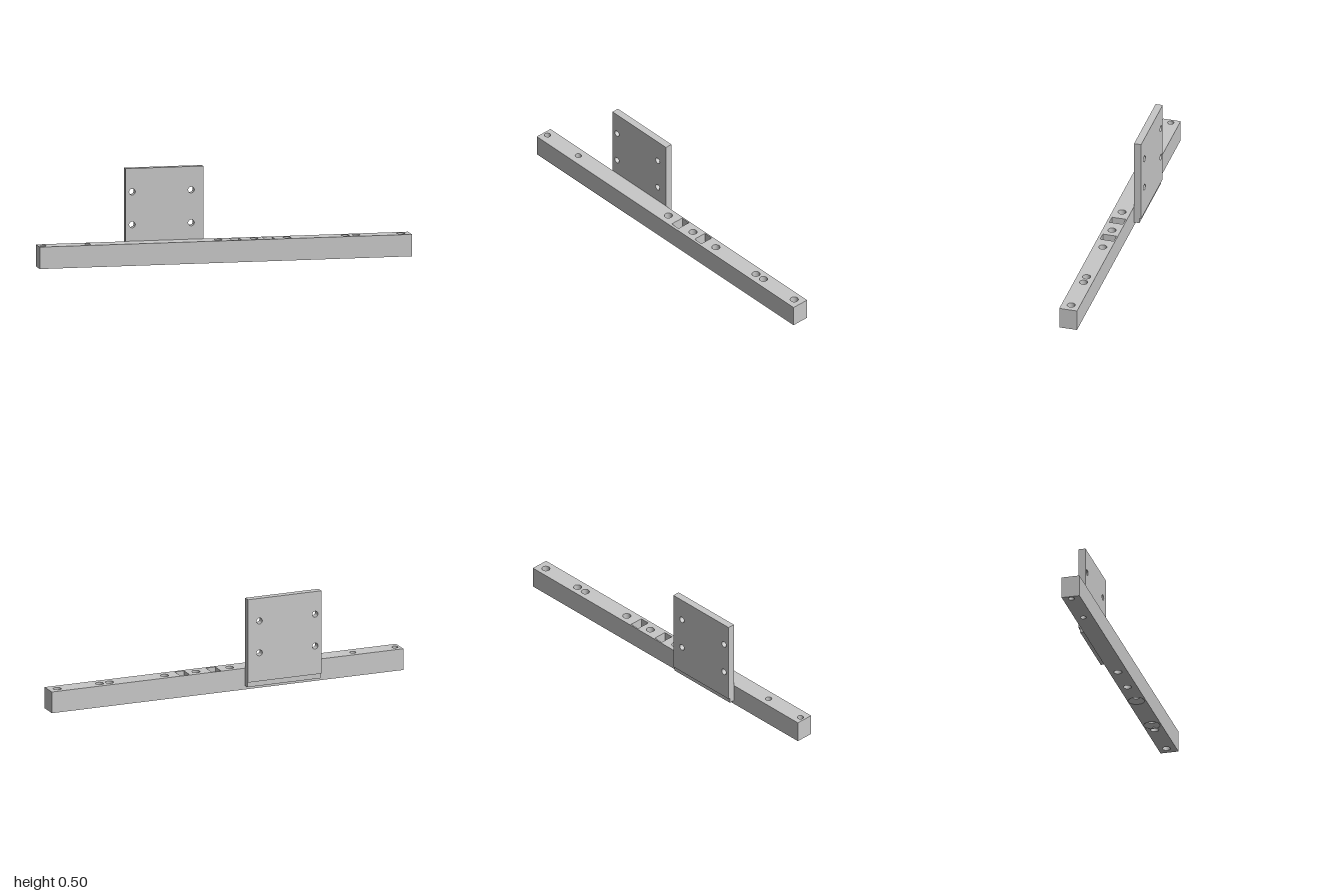
import * as THREE from 'three';

const grey = new THREE.MeshStandardMaterial({ color: 0xc8c8c8 });
grey.name = 'grey metal';
const greyInside = new THREE.MeshStandardMaterial({ color: 0xc8c8c8, side: THREE.DoubleSide });
greyInside.name = 'grey metal inside';

// Bar extents, hole line and hole sizes
const H = 0.116, Z0 = -0.0285, Z1 = 0.068, HZ = 0.0175;
const SMALL = 0.0165, LARGE = 0.0215, SINK = 0.043, SINK_DEPTH = 0.022, POCKET_DEPTH = 0.09;
const holes = [
  [-0.972, SMALL], [-0.732, SMALL], [-0.031, LARGE], [0.161, LARGE],
  [0.339, LARGE, true], [0.652, LARGE, true], [0.71, LARGE], [0.95, LARGE],
];
const [SUNK_X, NEXT_X] = [holes[5][0], holes[6][0]];
const pockets = [[0.035, 0.088], [0.213, 0.266]];
const PZ0 = -0.021, PZ1 = 0.053;

function rect(x0, x1, y0, y1, Type = THREE.Shape) {
  const s = new Type();
  s.moveTo(x0, y0);
  s.lineTo(x1, y0);
  s.lineTo(x1, y1);
  s.lineTo(x0, y1);
  s.closePath();
  return s;
}

function circle(x, y, r) {
  return new THREE.Path().absarc(x, y, r, 0, Math.PI * 2);
}

function add(group, name, geometry, material = grey) {
  const mesh = new THREE.Mesh(geometry, material);
  mesh.name = name;
  group.add(mesh);
  return mesh;
}

// Box without the faces listed (order: +x, -x, +y, -y, +z, -z)
function openBox(w, h, d, skip) {
  const g = new THREE.BoxGeometry(w, h, d);
  const all = Array.from(g.index.array);
  g.setIndex(all.filter((_, i) => !skip.includes(Math.floor(i / 6))));
  g.clearGroups();
  return g;
}

function createBar() {
  const bar = new THREE.Group();
  bar.name = 'bar';
  add(bar, 'barSides', openBox(2, H, Z1 - Z0, [2, 3])).position.set(0, H / 2, (Z0 + Z1) / 2);

  // Top face with round holes and rectangular pockets
  const top = rect(-1, 1, -Z1, -Z0);
  for (const [x, r] of holes) top.holes.push(circle(x, -HZ, r));
  for (const [a, b] of pockets) top.holes.push(rect(a, b, -PZ1, -PZ0, THREE.Path));
  const topGeo = new THREE.ShapeGeometry(top, 16).rotateX(-Math.PI / 2).translate(0, H, 0);
  add(bar, 'barTop', topGeo);

  // Bottom face; the countersink that meets its neighbour shares one outline with it
  const bottom = rect(-1, 1, Z0, Z1);
  const d = NEXT_X - SUNK_X;
  const a = (d * d + SINK * SINK - LARGE * LARGE) / (2 * d);
  const h = Math.sqrt(SINK * SINK - a * a);
  const tBig = Math.atan2(h, a), tSmall = Math.atan2(h, a - d);
  for (const [x, r, sunk] of holes) {
    if (x === NEXT_X) continue;
    if (x === SUNK_X) {
      const joined = new THREE.Path();
      joined.absarc(x, HZ, SINK, tBig, Math.PI * 2 - tBig);
      joined.absarc(NEXT_X, HZ, LARGE, -tSmall, tSmall);
      bottom.holes.push(joined);
    } else bottom.holes.push(circle(x, HZ, sunk ? SINK : r));
  }
  add(bar, 'barBottom', new THREE.ShapeGeometry(bottom, 16).rotateX(Math.PI / 2));

  // Hole walls and conical countersinks
  for (const [x, r, sunk] of holes) {
    const y0 = sunk ? SINK_DEPTH : 0;
    const wall = new THREE.CylinderGeometry(r, r, H - y0, 32, 1, true);
    add(bar, 'holeWall', wall, greyInside).position.set(x, (H + y0) / 2, HZ);
    if (!sunk) continue;
    const cone = new THREE.CylinderGeometry(r, SINK, SINK_DEPTH, 32, 1, true);
    add(bar, 'countersink', cone, greyInside).position.set(x, SINK_DEPTH / 2, HZ);
  }

  // Blind pockets
  for (const [p, q] of pockets) {
    const g = openBox(q - p, POCKET_DEPTH, PZ1 - PZ0, [2]);
    add(bar, 'pocket', g, greyInside).position.set((p + q) / 2, H - POCKET_DEPTH / 2, (PZ0 + PZ1) / 2);
  }
  return bar;
}

function createPlate() {
  const plate = new THREE.Group();
  plate.name = 'mountingPlate';
  const x0 = -0.517, x1 = -0.1, back = -0.067;

  // Upright plate with four holes
  const shape = rect(x0, x1, 0.048, 0.501);
  for (const x of [-0.482, -0.165])
    for (const y of [0.203, 0.377]) shape.holes.push(circle(x, y, SMALL));
  const geo = new THREE.ExtrudeGeometry(shape, { depth: Z0 - back, bevelEnabled: false, curveSegments: 16 });
  add(plate, 'plate', geo.translate(0, 0, back));

  // Thinner lip below the plate
  const lip = new THREE.BoxGeometry(x1 - x0, 0.028, 0.029);
  add(plate, 'lip', lip).position.set((x0 + x1) / 2, 0.034, Z0 - 0.0145);
  return plate;
}

export function createModel() {
  const model = new THREE.Group();
  model.name = 'bracketBar';
  model.add(createBar(), createPlate());
  return model;
}
